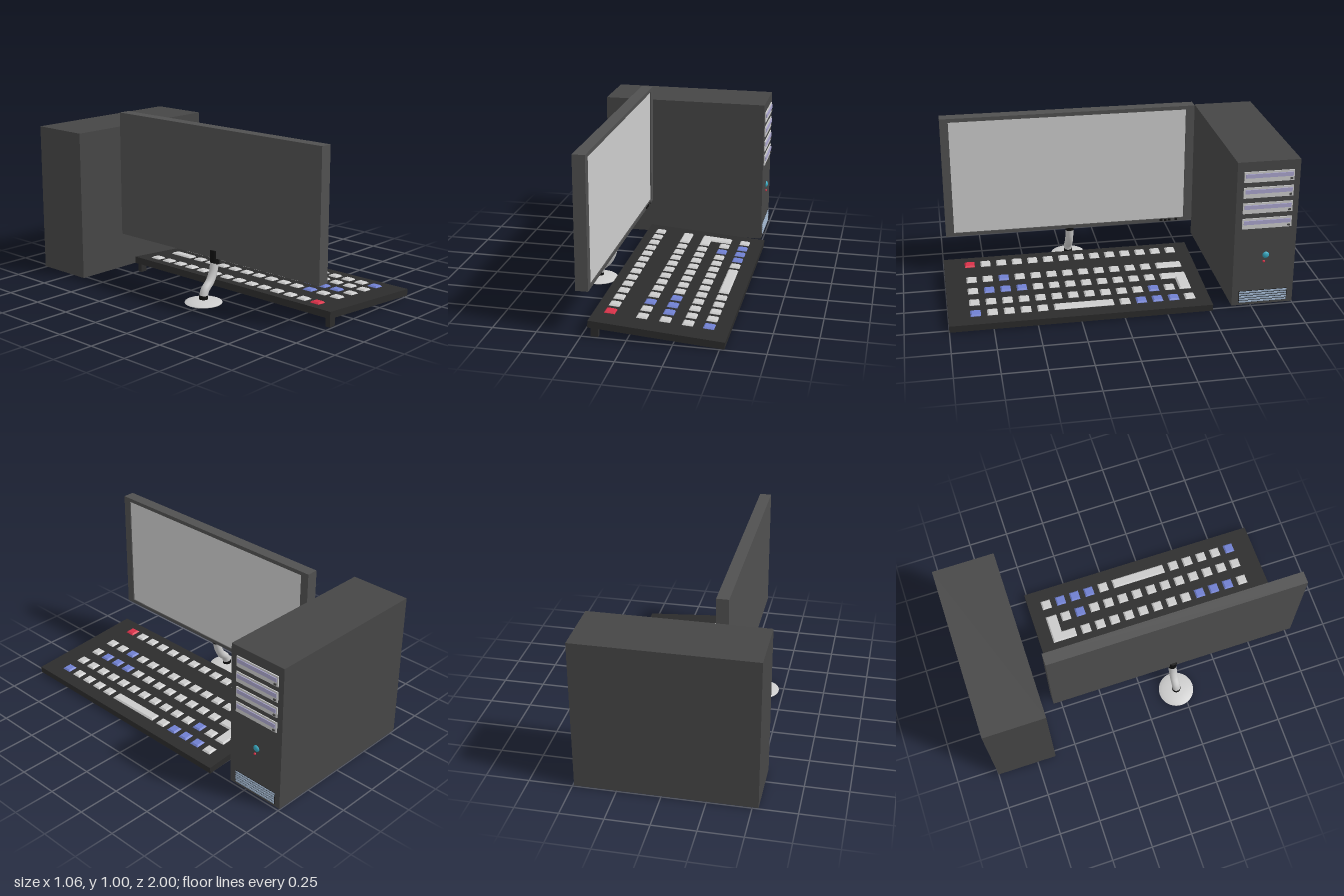
import * as THREE from 'three';

const mat = (color) => new THREE.MeshStandardMaterial({ color });
const grey = mat(0xcccccc), caseGrey = mat(0x464646), monitorGrey = mat(0x505050), dark = mat(0x2c2c2c);
const black = mat(0x111111), blue = mat(0x6f7fd0), red = mat(0xd83048), lilac = mat(0xa9a4cc);
const slatBlue = mat(0x9fb4cc), teal = mat(0x35a5bd);

function add(parent, name, geometry, material, x = 0, y = 0, z = 0) {
  const mesh = new THREE.Mesh(geometry, material);
  mesh.name = name;
  mesh.position.set(x, y, z);
  parent.add(mesh);
  return mesh;
}

// box given by its extents
function block(parent, name, material, [x0, x1], [y0, y1], [z0, z1]) {
  return add(parent, name, new THREE.BoxGeometry(x1 - x0, y1 - y0, z1 - z0), material,
    (x0 + x1) / 2, (y0 + y1) / 2, (z0 + z1) / 2);
}

function part(parent, name) {
  const g = new THREE.Group();
  g.name = name;
  parent.add(g);
  return g;
}

function buildTower(root) {
  const g = part(root, 'tower');
  block(g, 'case', caseGrey, [-0.535, 0.49], [0.005, 0.9], [-1, -0.635]);
  // drive bays: plate, tray slot and a small eject button
  for (const y of [0.81, 0.715, 0.62, 0.525]) {
    block(g, 'drivePlate', grey, [0.485, 0.496], [y - 0.032, y + 0.032], [-0.965, -0.675]);
    block(g, 'driveTray', lilac, [0.49, 0.501], [y - 0.004, y + 0.02], [-0.957, -0.683]);
    block(g, 'driveButton', caseGrey, [0.49, 0.502], [y - 0.024, y - 0.014], [-0.955, -0.94]);
  }
  // power button and light
  const power = add(g, 'powerButton', new THREE.SphereGeometry(0.02, 20, 14), teal, 0.49, 0.32, -0.825);
  power.scale.x = 0.6;
  add(g, 'powerLight', new THREE.SphereGeometry(0.008, 12, 8), red, 0.49, 0.28, -0.815);
  // lower vent
  block(g, 'ventBack', black, [0.485, 0.491], [0.02, 0.095], [-0.965, -0.675]);
  for (let i = 0; i < 5; i++) {
    const y = 0.027 + i * 0.0152;
    block(g, 'ventSlat', slatBlue, [0.485, 0.494], [y - 0.005, y + 0.005], [-0.962, -0.678]);
  }
}

function buildMonitor(root) {
  const g = part(root, 'monitor');
  block(g, 'monitorBack', monitorGrey, [-0.283, -0.225], [0.25, 1.005], [-0.555, 0.975]);
  // bezel: drawn with -z to the right, extruded towards +x
  const rect = (Cls, a, b, c, d) => new Cls([[a, c], [b, c], [b, d], [a, d]].map((p) => new THREE.Vector2(...p)));
  const frame = rect(THREE.Shape, -0.975, 0.555, 0.25, 1.005);
  frame.holes.push(rect(THREE.Path, -0.925, 0.503, 0.27, 0.982));
  const bezel = add(g, 'bezel', new THREE.ExtrudeGeometry(frame, { depth: 0.013, bevelEnabled: false }), monitorGrey, -0.225);
  bezel.rotation.y = Math.PI / 2;
  block(g, 'screen', grey, [-0.235, -0.219], [0.27, 0.982], [-0.503, 0.925]);
  for (const z of [-0.36, -0.388, -0.412, -0.455]) {
    block(g, 'monitorButton', black, [-0.22, -0.207], [0.255, 0.267], [z - 0.008, z + 0.008]);
  }

  // stand
  const s = part(g, 'stand');
  const profile = [[0, 0.004], [0.108, 0.004], [0.108, 0.008], [0.085, 0.016], [0.05, 0.023], [0, 0.026]]
    .map((p) => new THREE.Vector2(...p));
  add(s, 'base', new THREE.LatheGeometry(profile, 40), grey, -0.365, 0, 0.21);
  add(s, 'baseCollar', new THREE.CylinderGeometry(0.026, 0.026, 0.03, 24), black, -0.365, 0.032, 0.21);
  const path = new THREE.CatmullRomCurve3([[-0.365, 0.04], [-0.352, 0.075], [-0.312, 0.115], [-0.287, 0.16], [-0.27, 0.225]]
    .map(([x, y]) => new THREE.Vector3(x, y, 0.21)));
  add(s, 'neck', new THREE.TubeGeometry(path, 32, 0.025, 20), grey);
  add(s, 'topCollar', new THREE.CylinderGeometry(0.026, 0.026, 0.08, 24), black, -0.27, 0.255, 0.21);
}

// key cap with sloping sides from a plan outline of [x, z] points
function key(parent, name, material, outline) {
  const shape = new THREE.Shape(outline.map(([x, z]) => new THREE.Vector2(x, -z)));
  const geometry = new THREE.ExtrudeGeometry(shape, {
    depth: 0.004, bevelThickness: 0.008, bevelSize: 0.008, bevelOffset: -0.008, bevelSegments: 1,
  });
  add(parent, name, geometry, material, 0, -0.002, 0).rotation.x = -Math.PI / 2;
}

function buildKeyboard(root) {
  const g = part(root, 'keyboard');
  // sloping slab; its origin is the raised upper edge
  const slab = part(g, 'slab');
  slab.position.set(-0.212, 0.095, 0);
  slab.rotation.z = -0.07;
  block(slab, 'keyboardBody', dark, [0, 0.743], [-0.04, 0], [-0.515, 1]);
  const rowZ = (i) => -0.4 + i * 0.0958;
  const h = 0.03;
  const rect = (x, z0, z1) => [[x - h, z0 - h], [x + h, z0 - h], [x + h, z1 + h], [x - h, z1 + h]];
  // columns: K grey, B blue, R red, space = no single key
  const columns = [
    [0.087, 'KKKKKKKKKKKKKR'],
    [0.265, '  KKKKKKKKKBKK'],
    [0.392, '  KKKKKKKKBBBK'],
    [0.517, ' KBKKKKKKKKKKK'],
    [0.632, 'KBBBK    KKKKB'],
  ];
  for (const [x, row] of columns) {
    [...row].forEach((c, i) => {
      if (c !== ' ') key(slab, 'key', { K: grey, B: blue, R: red }[c], rect(x, rowZ(i), rowZ(i)));
    });
  }
  key(slab, 'longKey', grey, rect(0.265, rowZ(0), rowZ(1)));
  key(slab, 'spaceBar', grey, rect(0.632, rowZ(5), rowZ(8)));
  key(slab, 'cornerKey', grey, [[0.362, -0.43], [0.547, -0.43], [0.547, -0.36], [0.422, -0.36], [0.422, -0.275], [0.362, -0.275]]);
  // fold-down feet at the raised corners
  for (const z of [-0.49, 0.975]) {
    block(g, 'keyboardFoot', dark, [-0.2, -0.157], [0, 0.06], [z - 0.015, z + 0.015]);
  }
}

export function createModel() {
  const root = new THREE.Group();
  root.name = 'desktopComputer';
  buildTower(root);
  buildMonitor(root);
  buildKeyboard(root);
  return root;
}
